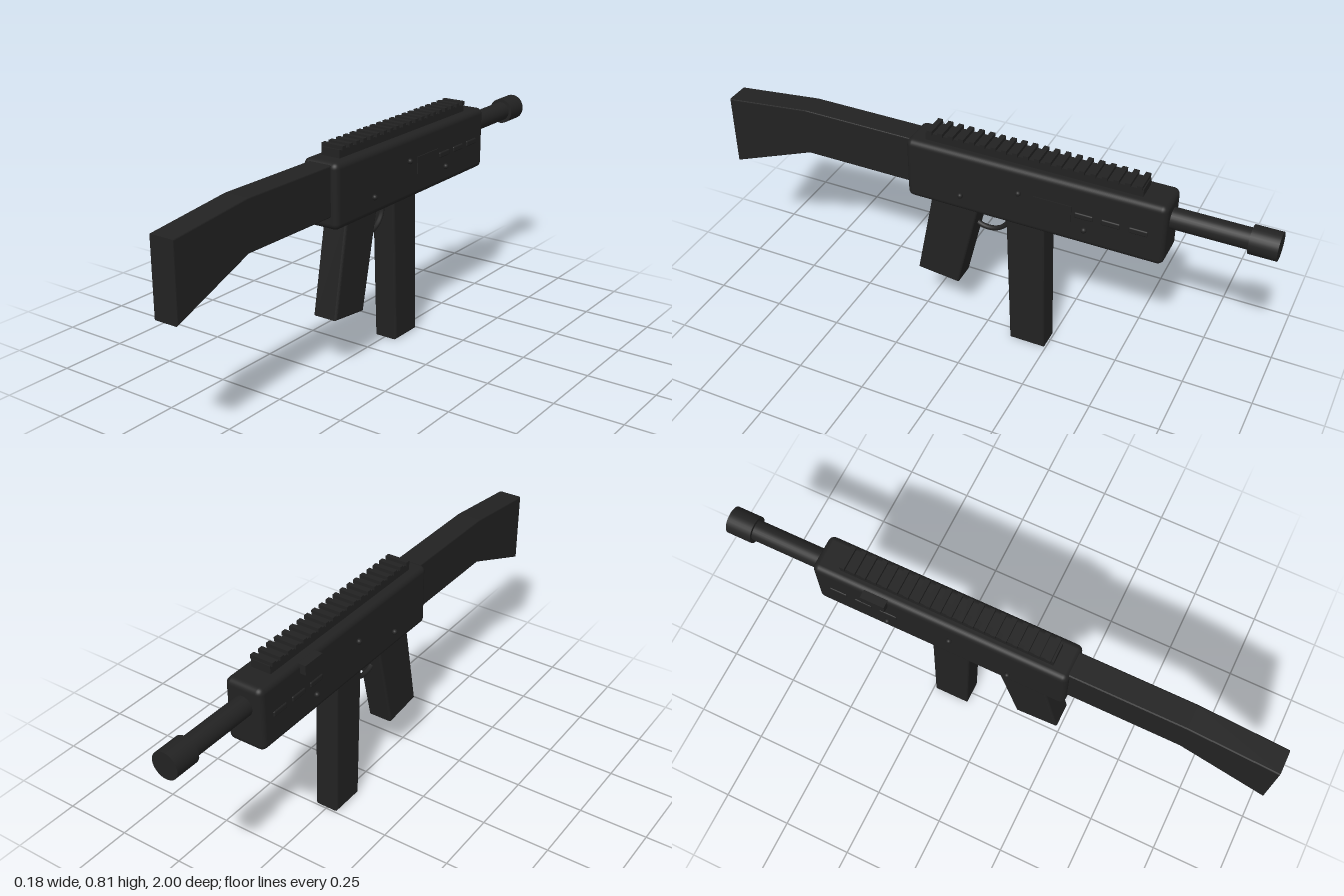
import * as THREE from 'three';
import { RoundedBoxGeometry } from 'three/addons/geometries/RoundedBoxGeometry.js';

const CX = 0.003; // centre plane of the body

export function createModel() {
  const model = new THREE.Group();
  model.name = 'blockyRifle';
  const black = new THREE.MeshStandardMaterial({ color: 0x222222 });
  black.name = 'matte black';

  const add = (name, geometry, x = 0, y = 0, z = 0, parent = model) => {
    const mesh = new THREE.Mesh(geometry, black);
    mesh.name = name;
    mesh.position.set(x, y, z);
    parent.add(mesh);
    return mesh;
  };
  const group = (name) => {
    const g = new THREE.Group();
    g.name = name;
    model.add(g);
    return g;
  };

  // Side profile given as [z, y] points, extruded across x with a small bevel
  const slab = (points, width, bevel) => {
    const shape = new THREE.Shape(points.map(([z, y]) => new THREE.Vector2(z, y)));
    const depth = width - 2 * bevel;
    const g = new THREE.ExtrudeGeometry(shape, {
      depth, bevelEnabled: true, bevelSize: bevel, bevelThickness: bevel,
      bevelOffset: -bevel, bevelSegments: 3,
    });
    g.translate(0, 0, -depth / 2);
    g.rotateY(-Math.PI / 2);
    return g;
  };
  const rod = (r, length) => new THREE.CylinderGeometry(r, r, length, 32).rotateX(Math.PI / 2);

  // Main body
  add('receiver', new RoundedBoxGeometry(0.141, 0.23, 0.925, 4, 0.022), CX, 0.65, -0.188);

  // Stock, grip and magazine
  add('stock', slab([[0.25, 0.58], [0.68, 0.58], [1, 0.455], [1, 0.72], [0.68, 0.757], [0.25, 0.757]],
    0.092, 0.005), CX);
  add('grip', slab([[0.255, 0.205], [0.187, 0.56], [0.01, 0.56], [0.096, 0.188]], 0.096, 0.008), CX);
  add('magazine', slab([[-0.11, 0], [-0.088, 0.56], [-0.228, 0.56], [-0.243, 0]], 0.091, 0.008), CX);

  // Barrel and muzzle
  add('barrel', rod(0.036, 0.36), CX, 0.688, -0.8);
  add('muzzle', rod(0.048, 0.093), CX, 0.688, -0.9535);

  // Trigger guard: a half loop under the body
  const guardPath = new THREE.CatmullRomCurve3(Array.from({ length: 13 }, (_, i) => {
    const a = Math.PI * (1 + i / 12);
    return new THREE.Vector3(0, 0.515 + 0.076 * Math.sin(a), -0.004 - 0.08 * Math.cos(a));
  }));
  add('triggerGuard', new THREE.TubeGeometry(guardPath, 28, 0.009, 8), CX);

  // Top rail with cross teeth
  const rail = group('topRail');
  add('railBase', new THREE.BoxGeometry(0.074, 0.035, 0.77), CX, 0.7755, -0.173, rail);
  const teeth = 20;
  for (let i = 0; i < teeth; i++) {
    const z = 0.195 - (0.74 * i) / (teeth - 1);
    add('railTooth', new THREE.BoxGeometry(0.086, 0.014, 0.018), CX, 0.798, z, rail);
  }

  // Pins and rounded slots on both sides
  const pins = group('pins');
  const slots = group('slots');
  for (const side of [-1, 1]) {
    for (const [z, y] of [[0.068, 0.601], [-0.145, 0.676], [-0.38, 0.601]]) {
      add('pin', new THREE.SphereGeometry(0.01, 16, 12), CX + side * 0.0755, y, z, pins);
    }
    for (const z of [-0.375, -0.468, -0.562]) {
      add('slot', new RoundedBoxGeometry(0.012, 0.022, 0.066, 3, 0.0055),
        CX + side * 0.0685, 0.65, z, slots);
    }
  }

  // Port cover on the left, charging handle on the right
  add('portCover', new THREE.BoxGeometry(0.008, 0.062, 0.135), CX + 0.07, 0.648, -0.265);
  add('chargingHandle', new THREE.BoxGeometry(0.035, 0.035, 0.088), -0.0725, 0.742, -0.413);

  return model;
}
